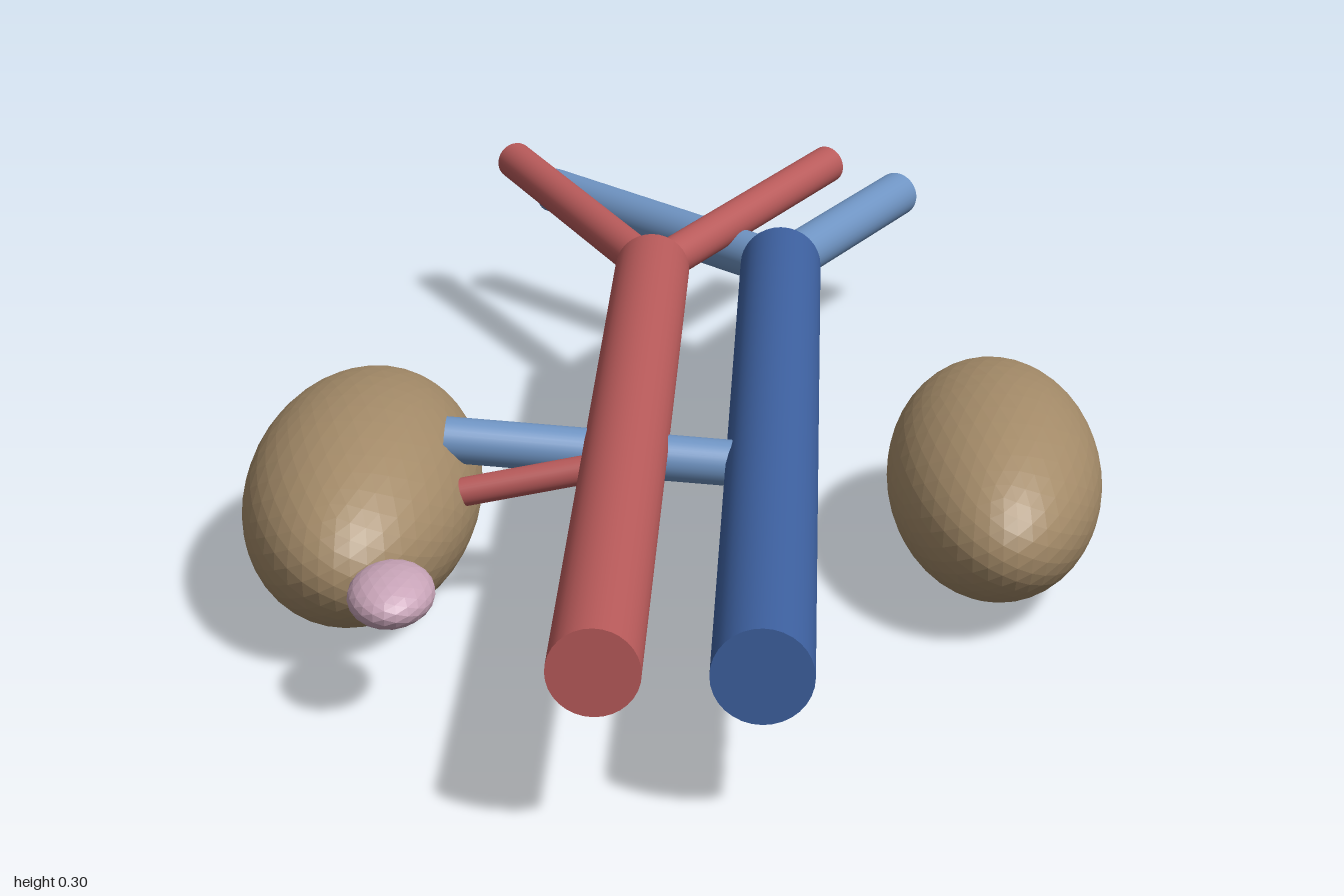
import * as THREE from 'three';

const flat = (name, color, flatShading = false) => {
  const m = new THREE.MeshStandardMaterial({ color, flatShading });
  m.name = name;
  return m;
};

export function createModel() {
  const group = new THREE.Group();
  const red = flat('artery red', 0xb85a5a);
  const darkBlue = flat('large vein blue', 0x3d609f);
  const lightBlue = flat('branch vein blue', 0x6f94c3);
  const brown = flat('kidney brown', 0xa38a68, true);
  const pink = flat('gland pink', 0xc8a4b8, true);

  // Capped straight vessel between two points
  const vessel = (name, a, b, r, material) => {
    const from = new THREE.Vector3(...a), to = new THREE.Vector3(...b);
    const dir = to.clone().sub(from);
    const mesh = new THREE.Mesh(new THREE.CylinderGeometry(r, r, dir.length(), 32), material);
    mesh.position.copy(from).add(to).multiplyScalar(0.5);
    mesh.quaternion.setFromUnitVectors(new THREE.Vector3(0, 1, 0), dir.normalize());
    mesh.name = name;
    group.add(mesh);
  };

  // Faceted ellipsoid organ
  const organ = (name, pos, radii, detail, material) => {
    const mesh = new THREE.Mesh(new THREE.IcosahedronGeometry(1, detail).scale(...radii), material);
    mesh.position.set(...pos);
    mesh.name = name;
    group.add(mesh);
  };

  // Main artery and its two end branches
  const arteryFork = [-0.067, 0.24, -0.475];
  vessel('mainArtery', [-0.067, 0.24, 1], arteryFork, 0.058, red);
  vessel('rightArteryBranch', arteryFork, [-0.322, 0.27, -0.945], 0.031, red);
  vessel('leftArteryBranch', arteryFork, [0.206, 0.27, -0.945], 0.031, red);

  // Main vein and its two end branches
  const veinFork = [0.133, 0.21, -0.59];
  vessel('mainVein', [0.133, 0.21, 0.94], veinFork, 0.064, darkBlue);
  vessel('rightVeinBranch', veinFork, [-0.26, 0.21, -0.972], 0.037, lightBlue);
  vessel('leftVeinBranch', veinFork, [0.325, 0.21, -0.973], 0.037, lightBlue);

  // Vessels crossing to the right kidney
  vessel('kidneyVein', [0.12, 0.208, 0.26], [-0.318, 0.24, 0.26], 0.032, lightBlue);
  vessel('kidneyArtery', [-0.067, 0.234, 0.32], [-0.32, 0.18, 0.32], 0.02, red);

  // Kidneys and gland
  organ('rightKidney', [-0.437, 0.148, 0.234], [0.164, 0.147, 0.322], 7, brown);
  organ('leftKidney', [0.445, 0.15, 0.143], [0.151, 0.141, 0.303], 7, brown);
  organ('gland', [-0.35, 0.178, 0.645], [0.057, 0.035, 0.08], 3, pink);
  return group;
}
